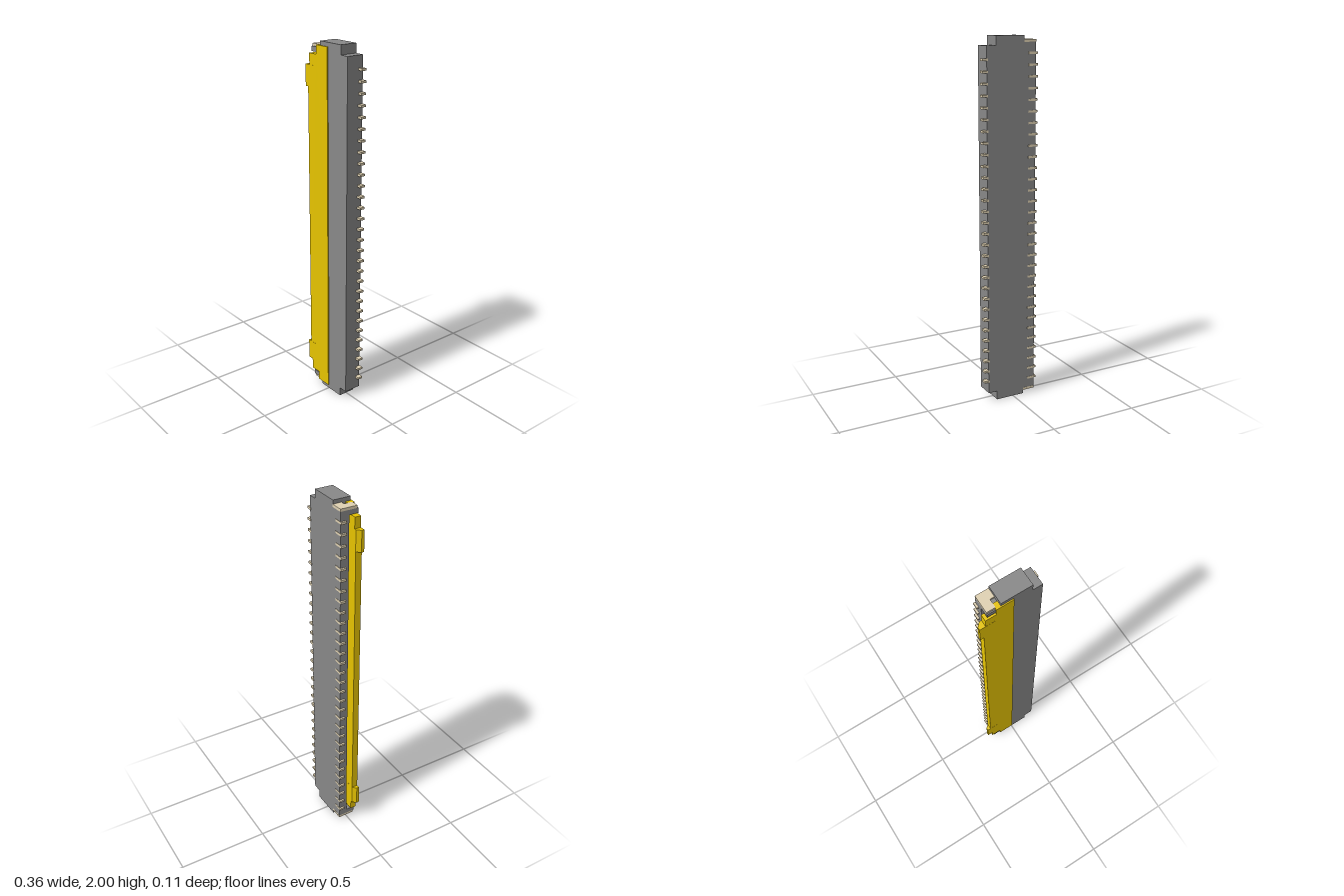
import * as THREE from 'three';

const grey = new THREE.MeshStandardMaterial({ color: 0x888888 });
const yellow = new THREE.MeshStandardMaterial({ color: 0xe6c300 });
const tan = new THREE.MeshStandardMaterial({ color: 0xdfd1b2 });

// Box given by its min and max on each axis
function box(name, material, [x0, x1], [y0, y1], [z0, z1]) {
  const mesh = new THREE.Mesh(new THREE.BoxGeometry(x1 - x0, y1 - y0, z1 - z0), material);
  mesh.position.set((x0 + x1) / 2, (y0 + y1) / 2, (z0 + z1) / 2);
  mesh.name = name;
  return mesh;
}

function extrude(points, depth) {
  const shape = new THREE.Shape(points.map(([x, y]) => new THREE.Vector2(x, y)));
  return new THREE.ExtrudeGeometry(shape, { depth, bevelEnabled: false });
}

// Plate whose outline is symmetric about y = 1; only the lower half is given
function plate(name, material, lower, z0, z1) {
  const upper = lower.map(([x, y]) => [x, 2 - y]).reverse();
  const mesh = new THREE.Mesh(extrude([...lower, ...upper], z1 - z0), material);
  mesh.position.z = z0;
  mesh.name = name;
  return mesh;
}

export function createModel() {
  const model = new THREE.Group();
  model.name = 'ribbonConnector';

  // Housing with stepped ends, and the lower ledge of the cable slot
  model.add(plate('housing', grey, [[-0.064, 1], [-0.064, 0], [0.102, 0], [0.102, 0.05], [0.154, 0.05], [0.154, 1]], -0.053, 0.046));
  model.add(box('slotLedge', grey, [-0.134, -0.06], [0.034, 1.966], [-0.053, -0.005]));

  // Flip lock covering the slot
  model.add(plate('flipLock', yellow,
    [[-0.16, 1], [-0.16, 0.13], [-0.148, 0.13], [-0.148, 0.07], [-0.09, 0.07], [-0.09, 0.022], [0.001, 0.022], [0.001, 1]], 0.017, 0.052));

  // Chamfered finger tabs on the lock
  const tabProfile = [[-0.18, -0.0525], [-0.1, -0.0525], [-0.1, -0.0165], [-0.16, -0.0165], [-0.18, -0.037]];
  for (const y of [0.13, 1.755]) {
    const tab = new THREE.Mesh(extrude(tabProfile, 0.115), yellow);
    tab.rotation.x = -Math.PI / 2;
    tab.position.y = y;
    tab.name = 'fingerTab';
    model.add(tab);
  }

  // End posts with metal solder clips, mirrored top and bottom
  for (const top of [false, true]) {
    const range = (a, b) => (top ? [2 - b, 2 - a] : [a, b]);
    const end = new THREE.Group();
    end.name = top ? 'upperEnd' : 'lowerEnd';
    end.add(
      box('endPost', grey, [-0.134, -0.088], range(0.034, 0.06), [-0.01, 0.046]),
      box('postShoulder', grey, [-0.088, -0.064], range(0.03, 0.06), [-0.01, 0.017]),
      box('solderClip', tan, [-0.134, -0.087], range(0.02, 0.034), [-0.054, 0.04]),
      box('solderClipFoot', tan, [-0.087, -0.064], range(0.02, 0.034), [-0.054, -0.005]),
    );
    model.add(end);
  }

  // Staggered contact rows
  const pitch = 0.0607, half = 0.006;
  const contacts = new THREE.Group();
  contacts.name = 'contacts';
  for (let i = 0; i < 30; i++) {
    const y = 1 + (i - 14.5) * pitch;
    contacts.add(box('leftContact', tan, [0.148, 0.179], [y - half, y + half], [-0.055, -0.025]));
  }
  for (let i = 0; i < 31; i++) {
    const y = 1 + (i - 15) * pitch;
    contacts.add(box('rightContact', tan, [-0.145, -0.09], [y - half, y + half], [-0.055, -0.025]));
  }
  model.add(contacts);
  return model;
}
